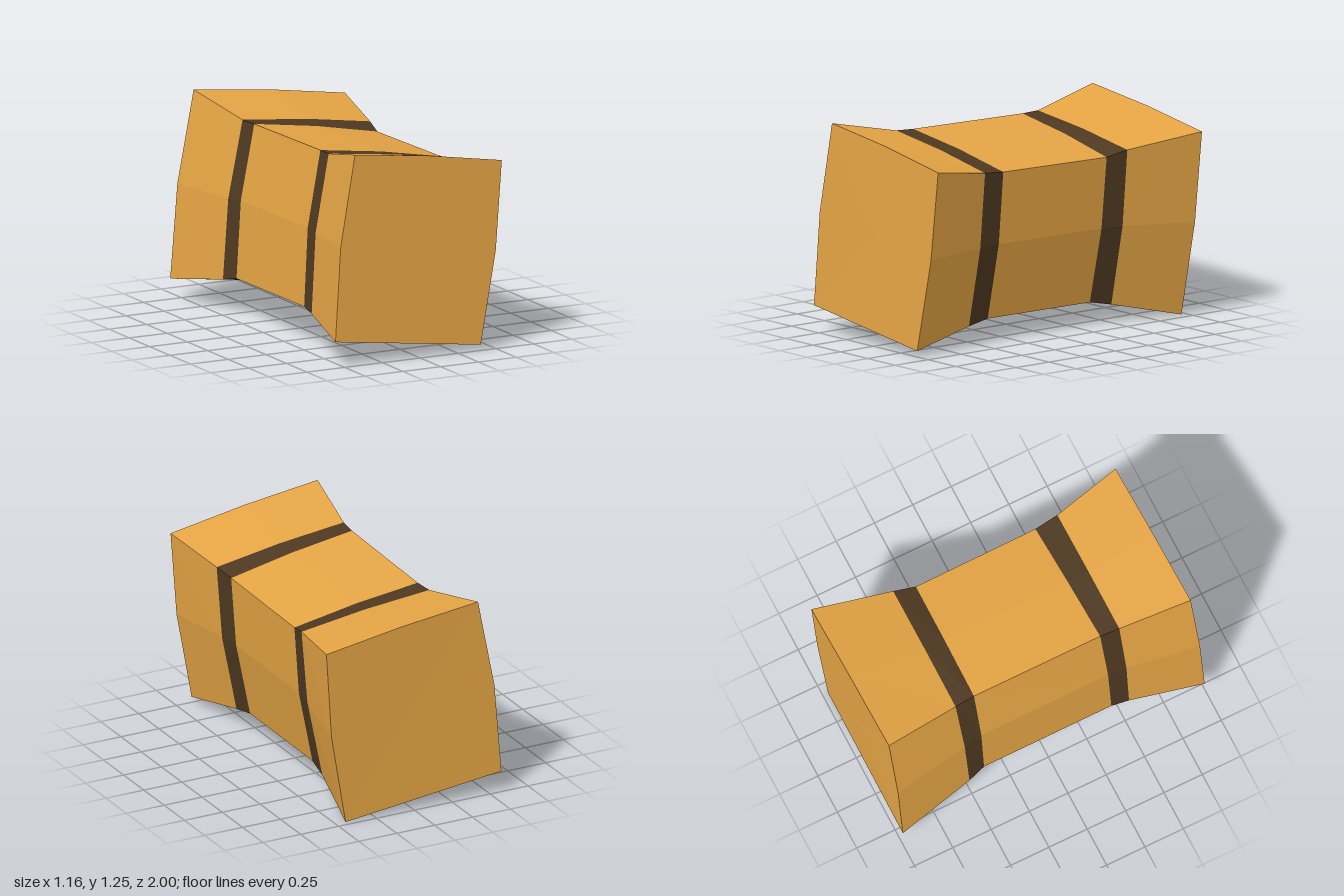
import * as THREE from 'three';

const straw = new THREE.MeshStandardMaterial({ color: 0xe4a444, flatShading: true });
const strap = new THREE.MeshStandardMaterial({ color: 0x4e3921, flatShading: true });

// Cross-sections from front to back: lower left, upper left, upper right, lower right corner
const sections = [
  [[0.40, 0.04, 1.0], [0.555, 1.12, 0.97], [-0.415, 1.26, 0.97], [-0.555, 0.16, 0.99]],
  [[0.34, 0.12, 0.56], [0.475, 1.05, 0.55], [-0.355, 1.17, 0.535], [-0.47, 0.225, 0.54]],
  [[0.33, 0.145, 0.41], [0.46, 1.035, 0.40], [-0.345, 1.165, 0.415], [-0.46, 0.245, 0.43]],
  [[0.33, 0.14, -0.36], [0.46, 1.02, -0.38], [-0.34, 1.15, -0.405], [-0.46, 0.24, -0.40]],
  [[0.345, 0.11, -0.51], [0.485, 1.05, -0.515], [-0.35, 1.15, -0.53], [-0.49, 0.215, -0.51]],
  [[0.435, 0.005, -0.965], [0.58, 1.11, -1.0], [-0.42, 1.24, -1.0], [-0.58, 0.13, -0.99]],
];

// Outward bulge of the midpoints on the left, top, right and bottom sides
const bulge = [[0.03, 0.012], [0.004, 0.01], [-0.03, 0.008], [0, 0]];

function makeRing(corners) {
  const ring = [];
  corners.forEach((c, i) => {
    const a = new THREE.Vector3(...c);
    const b = new THREE.Vector3(...corners[(i + 1) % 4]);
    const mid = a.clone().lerp(b, 0.5);
    mid.x += bulge[i][0];
    mid.y += bulge[i][1];
    ring.push(a, mid);
  });
  return ring;
}

// Skin between two rings, optionally closed at the front or back
function makePart(name, front, back, material, cap) {
  const pos = [];
  const tri = (...pts) => pts.forEach((p) => pos.push(p.x, p.y, p.z));
  const n = front.length;
  const end = cap === 'front' ? front : back;
  const centre = end.reduce((s, p) => s.add(p), new THREE.Vector3()).divideScalar(n);
  for (let i = 0; i < n; i++) {
    const j = (i + 1) % n;
    tri(front[i], back[i], front[j]);
    tri(front[j], back[i], back[j]);
    if (cap === 'front') tri(centre, front[i], front[j]);
    if (cap === 'back') tri(centre, back[j], back[i]);
  }
  const geometry = new THREE.BufferGeometry();
  geometry.setAttribute('position', new THREE.Float32BufferAttribute(pos, 3));
  geometry.computeVertexNormals();
  const mesh = new THREE.Mesh(geometry, material);
  mesh.name = name;
  return mesh;
}

export function createModel() {
  const bale = new THREE.Group();
  bale.name = 'strawBale';
  const rings = sections.map(makeRing);
  // Straw blocks alternate with the dark straps
  const parts = [
    ['frontEnd', straw, 'front'],
    ['frontStrap', strap],
    ['middleBlock', straw],
    ['backStrap', strap],
    ['backEnd', straw, 'back'],
  ];
  parts.forEach(([name, material, cap], i) => {
    bale.add(makePart(name, rings[i], rings[i + 1], material, cap));
  });
  return bale;
}
